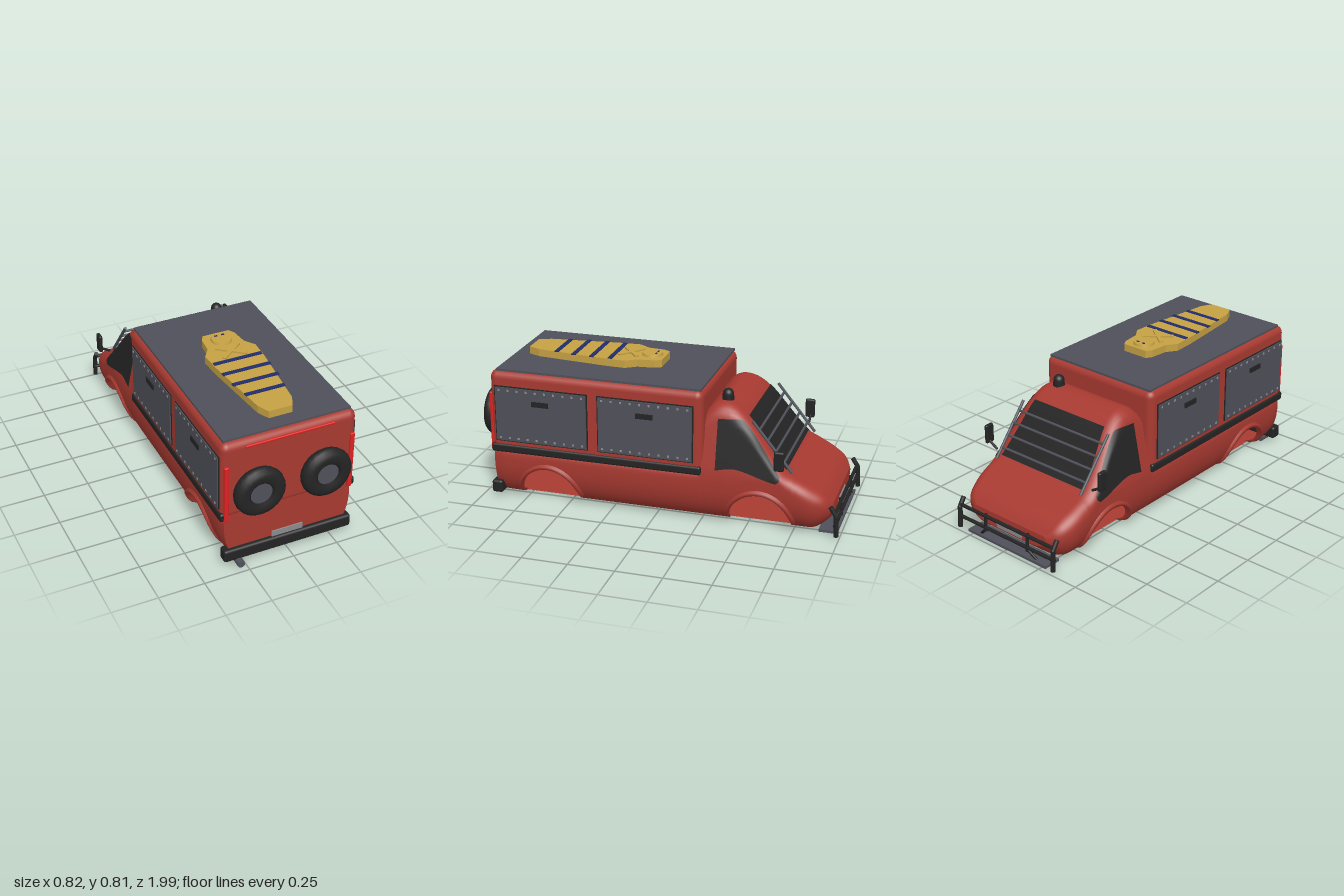
import * as THREE from 'three';
import { RoundedBoxGeometry } from 'three/addons/geometries/RoundedBoxGeometry.js';

const mat = (name, color, side = THREE.FrontSide) => {
  const m = new THREE.MeshStandardMaterial({ color, side });
  m.name = name;
  return m;
};

// Smooth curve through [z, value] pairs sorted by rising z
function curve(pts) {
  const slope = i => {
    const a = pts[Math.max(0, i - 1)], b = pts[Math.min(pts.length - 1, i + 1)];
    return (b[1] - a[1]) / (b[0] - a[0]);
  };
  return z => {
    if (z <= pts[0][0]) return pts[0][1];
    if (z >= pts[pts.length - 1][0]) return pts[pts.length - 1][1];
    let i = 0;
    while (pts[i + 1][0] < z) i++;
    const h = pts[i + 1][0] - pts[i][0], t = (z - pts[i][0]) / h, t2 = t * t, t3 = t2 * t;
    return (2 * t3 - 3 * t2 + 1) * pts[i][1] + (t3 - 2 * t2 + t) * h * slope(i)
      + (3 * t2 - 2 * t3) * pts[i + 1][1] + (t3 - t2) * h * slope(i + 1);
  };
}

// Surface grid; f(i, j) gives [x, y, z]
function grid(nu, nv, f) {
  const pos = [], idx = [];
  for (let i = 0; i <= nu; i++) for (let j = 0; j <= nv; j++) {
    pos.push(...f(i, j));
    if (i < nu && j < nv) {
      const a = i * (nv + 1) + j, b = a + nv + 1;
      idx.push(a, b, a + 1, b, b + 1, a + 1);
    }
  }
  const g = new THREE.BufferGeometry();
  g.setAttribute('position', new THREE.Float32BufferAttribute(pos, 3));
  g.setIndex(idx);
  g.computeVertexNormals();
  return g;
}

// Body outline rules
const FLOOR = 0.02, CAB = -0.25, ARCHES = [-0.572, 0.603], AR = 0.174, AH = 0.195;
const cabTop = curve([[-0.95, 0.17], [-0.91, 0.22], [-0.85, 0.26], [-0.76, 0.305], [-0.7, 0.34], [-0.6, 0.46],
  [-0.52, 0.565], [-0.46, 0.625], [-0.4, 0.66], [-0.34, 0.667], [-0.29, 0.645], [-0.25, 0.6]]);
const plan = curve([[-0.95, 0.26], [-0.925, 0.315], [-0.85, 0.355], [-0.75, 0.365], [0.85, 0.365], [0.915, 0.355]]);
const under = curve([[-0.95, 0.09], [-0.92, 0.06], [-0.86, 0.022], [-0.8, FLOOR], [0.9, FLOOR]]);
const top = (z, cab) => cab ? cabTop(z) : 0.33;
function halfWidth(z, y, cab = true) {
  const yt = top(z, cab), yb = under(z), h = yt - yb;
  const rb = Math.min(0.22, h * 0.7), rt = Math.min(0.07, h * 0.3);
  const bend = u => 1 - Math.sqrt(Math.max(0, 1 - u * u));
  let x = plan(z) - (cab ? Math.max(0, y - 0.3) * 0.2 : 0);
  if (y < yb + rb) x -= 0.12 * bend((yb + rb - y) / rb);
  if (y > yt - rt) x -= rt * bend((y - yt + rt) / rt);
  return x;
}
function lowEdge(z) {
  for (const c of ARCHES) {
    const u = (z - c) / AR;
    if (Math.abs(u) < 1) return FLOOR + AH * Math.sqrt(1 - u * u);
  }
  return under(z);
}

export function createModel() {
  const model = new THREE.Group();
  model.name = 'rescueVan';
  const red = mat('body red', 0xa83a31, THREE.DoubleSide);
  const grey = mat('steel grey', 0x50505a);
  const black = mat('black', 0x242425, THREE.DoubleSide);
  const gold = mat('gold', 0xc6a244);
  const blue = mat('blue', 0x212c6e);
  const lamp = mat('lamp red', 0xdc2222);
  const light = mat('light grey', 0x8b8b8e);

  const add = (name, geo, m, x = 0, y = 0, z = 0, parent = model) => {
    const mesh = new THREE.Mesh(geo, m);
    mesh.name = name;
    mesh.position.set(x, y, z);
    parent.add(mesh);
    return mesh;
  };
  const box = (name, m, w, h, d, x, y, z) => add(name, new THREE.BoxGeometry(w, h, d), m, x, y, z);
  const rbox = (name, m, w, h, d, r, x, y, z) => add(name, new RoundedBoxGeometry(w, h, d, 3, r), m, x, y, z);
  const bar = (name, m, a, b, r) => {
    const p = new THREE.Vector3(...a), q = new THREE.Vector3(...b);
    const mesh = add(name, new THREE.CylinderGeometry(r, r, p.distanceTo(q), 10), m);
    mesh.position.copy(p).add(q).multiplyScalar(0.5);
    mesh.quaternion.setFromUnitVectors(new THREE.Vector3(0, 1, 0), q.sub(p).normalize());
    return mesh;
  };

  // Lower body and cab shell, open at the wheel arches
  const stations = [];
  for (let z = -0.95; z < 0.916; z += 0.02) {
    if (!ARCHES.some(c => Math.abs(z - c) < AR + 0.008)) stations.push(z);
  }
  for (const c of ARCHES) for (let k = 0; k <= 20; k++) stations.push(c + AR * Math.cos(Math.PI * k / 20));
  stations.push(CAB, 0.915);
  stations.sort((a, b) => a - b);
  const N = 24;
  for (const cab of [true, false]) {
    const zs = stations.filter(z => cab ? z <= CAB : z >= CAB);
    const name = cab ? 'cab' : 'lowerBody';
    const point = (z, j, s) => {
      const lo = lowEdge(z), hi = top(z, cab);
      if (j > N) return [0, hi, z];
      const y = lo + (hi - lo) * (0.5 - 0.5 * Math.cos(Math.PI * j / N));
      return [s * halfWidth(z, y, cab), y, z];
    };
    for (const s of [1, -1]) {
      add(name + 'Side', grid(zs.length - 1, N + 1, (i, j) => point(zs[i], j, s)), red);
      const end = cab ? zs[0] : zs[zs.length - 1];
      add(name + 'End', grid(1, N, (i, j) => {
        const p = point(end, j, s);
        return [i * p[0], p[1], end];
      }), red);
    }
    add(name + 'Floor', grid(zs.length - 1, 2, (i, j) =>
      [(j - 1) * halfWidth(zs[i], under(zs[i]), cab), under(zs[i]), zs[i]]), red);
  }

  // Wheel arch flares
  const lip = [[0.174, -0.02], [0.174, 0.012], [0.19, 0.012], [0.203, -0.006]];
  for (const c of ARCHES) for (const s of [1, -1]) {
    add('archFlare', grid(24, 3, (i, j) => {
      const a = Math.PI * i / 24, [r, d] = lip[j];
      const y = FLOOR + (r + 0.02) * Math.sin(a), z = c + r * Math.cos(a);
      return [s * (halfWidth(z, y, c < 0) + d), y, z];
    }), red);
  }

  // Cab glass follows the shell
  const lower = curve([[-0.68, 0.305], [-0.66, 0.29], [-0.444, 0.342], [-0.337, 0.326]]);
  const upper = curve([[-0.68, 0.325], [-0.55, 0.505], [-0.476, 0.59], [-0.43, 0.6], [-0.337, 0.594]]);
  for (const s of [1, -1]) add('sideWindow', grid(20, 10, (i, j) => {
    const z = -0.337 - 0.343 * i / 20, hi = Math.min(upper(z), cabTop(z) - 0.022);
    const y = lower(z) + (hi - lower(z)) * j / 10;
    return [s * (halfWidth(z, y) + 0.004), y, z];
  }), black);
  add('windscreen', grid(12, 2, (i, j) => {
    const z = -0.485 - 0.215 * i / 12;
    return [(j - 1) * (0.245 + 0.05 * i / 12), cabTop(z) + 0.006, z - 0.003];
  }), black);

  // Windscreen guard
  for (const s of [1, -1]) bar('guardRail', grey, [s * 0.3, 0.598, -0.52], [s * 0.3, 0.335, -0.735], 0.008);
  for (let k = 0; k < 4; k++) {
    const t = 0.17 + k * 0.21, y = 0.598 - 0.263 * t, z = -0.52 - 0.215 * t;
    bar('guardBar', grey, [-0.3, y, z], [0.3, y, z], 0.007);
  }

  // Beacon and mirrors
  add('beaconBase', new THREE.CylinderGeometry(0.03, 0.032, 0.04, 20), black, 0.19, 0.675, -0.36);
  add('beaconDome', new THREE.SphereGeometry(0.03, 20, 12), black, 0.19, 0.695, -0.36);
  for (const s of [1, -1]) {
    rbox('mirror', black, 0.022, 0.108, 0.054, 0.01, s * 0.401, 0.433, -0.685);
    bar('mirrorArm', black, [s * 0.34, 0.36, -0.69], [s * 0.4, 0.395, -0.69], 0.007);
  }

  // Cargo box with roof plate
  rbox('cargoBox', red, 0.744, 0.45, 1.19, 0.04, 0, 0.527, 0.325);
  box('roofPlate', grey, 0.7, 0.012, 1.14, 0, 0.755, 0.315);

  // Side trim, locker doors, rivets and handles
  for (const s of [1, -1]) {
    rbox('sideTrim', black, 0.03, 0.048, 1.182, 0.012, s * 0.364, 0.313, 0.329);
    for (const z of [0.626, 0.043]) {
      box('lockerFrame', black, 0.01, 0.318, 0.53, s * 0.37, 0.515, z);
      box('lockerDoor', grey, 0.018, 0.305, 0.516, s * 0.372, 0.515, z);
      box('lockerHandle', black, 0.016, 0.028, 0.095, s * 0.38, 0.59, z);
      for (const y of [0.38, 0.652]) for (let k = 0; k < 10; k++)
        box('rivet', light, 0.008, 0.011, 0.011, s * 0.38, y, z - 0.235 + k * 0.0522);
    }
  }

  // Spare wheels on the back
  const tyre = [[0.06, 0.01], [0.06, 0.068], [0.072, 0.078], [0.1, 0.08], [0.123, 0.074],
    [0.136, 0.06], [0.14, 0.04], [0.134, 0.02], [0.12, 0.005], [0.06, 0]].map(p => new THREE.Vector2(...p));
  for (const s of [1, -1]) {
    add('spareTyre', new THREE.LatheGeometry(tyre, 24), black, s * 0.185, 0.46, 0.917).rotation.x = Math.PI / 2;
    add('spareHub', new THREE.CylinderGeometry(0.061, 0.061, 0.07, 24), grey, s * 0.185, 0.46, 0.947).rotation.x = Math.PI / 2;
    rbox('rearLamp', lamp, 0.025, 0.336, 0.02, 0.006, s * 0.347, 0.458, 0.919);
  }
  rbox('brakeLamp', lamp, 0.49, 0.014, 0.016, 0.005, 0, 0.719, 0.918);

  // Rear bumper, number plate and exhaust
  rbox('rearBumper', black, 0.724, 0.072, 0.062, 0.014, 0, 0.07, 0.908);
  box('rearPlate', light, 0.176, 0.034, 0.008, -0.002, 0.121, 0.92);
  bar('exhaust', grey, [-0.282, 0.025, 0.855], [-0.282, 0.025, 0.97], 0.02);

  // Front bull bar with skid plate
  for (const s of [1, -1]) {
    bar('bullBarPost', black, [s * 0.335, 0.02, -0.985], [s * 0.335, 0.14, -0.98], 0.013);
    bar('bullBarTip', black, [s * 0.335, 0.135, -0.982], [s * 0.335, 0.185, -0.95], 0.013);
    bar('bullBarStrut', black, [s * 0.15, 0.06, -0.978], [s * 0.15, 0.16, -0.97], 0.009);
    bar('skidBracket', black, [s * 0.2, 0.02, -0.96], [s * 0.15, 0.07, -0.975], 0.008);
  }
  for (const y of [0.08, 0.15]) bar('bullBarRail', black, [-0.34, y, -0.976], [0.34, y, -0.976], 0.01);
  box('skidPlate', grey, 0.56, 0.014, 0.1, 0, 0.016, -0.932);
  box('frontPlate', light, 0.176, 0.034, 0.008, 0, 0.115, -0.952);

  // Golden figure lying on the roof
  const half = [[0.075, 0.04], [0.095, 0.075], [0.105, 0.17], [0.145, 0.228], [0.14, 0.34], [0.095, 0.74], [0.065, 0.805]];
  const outline = [...half, ...half.map(([x, z]) => [-x, z]).reverse()].map(([x, z]) => new THREE.Vector2(x, -z));
  const slab = new THREE.ExtrudeGeometry(new THREE.Shape(outline), { depth: 0.042, bevelEnabled: false });
  add('figureBody', slab.rotateX(-Math.PI / 2), gold, 0, 0.76, 0);
  add('figureFace', new THREE.CylinderGeometry(0.054, 0.058, 0.014, 20), gold, 0, 0.808, 0.115);
  for (const s of [1, -1]) {
    box('figureEye', blue, 0.016, 0.005, 0.008, s * 0.02, 0.816, 0.088);
    box('figureArm', gold, 0.022, 0.01, 0.17, 0, 0.805, 0.235).rotation.y = s * 0.9;
  }
  [0.137, 0.135, 0.13, 0.11].forEach((w, k) =>
    box('figureBand', blue, w * 2, 0.006, 0.024, 0, 0.803, 0.315 + k * 0.105));

  return model;
}
